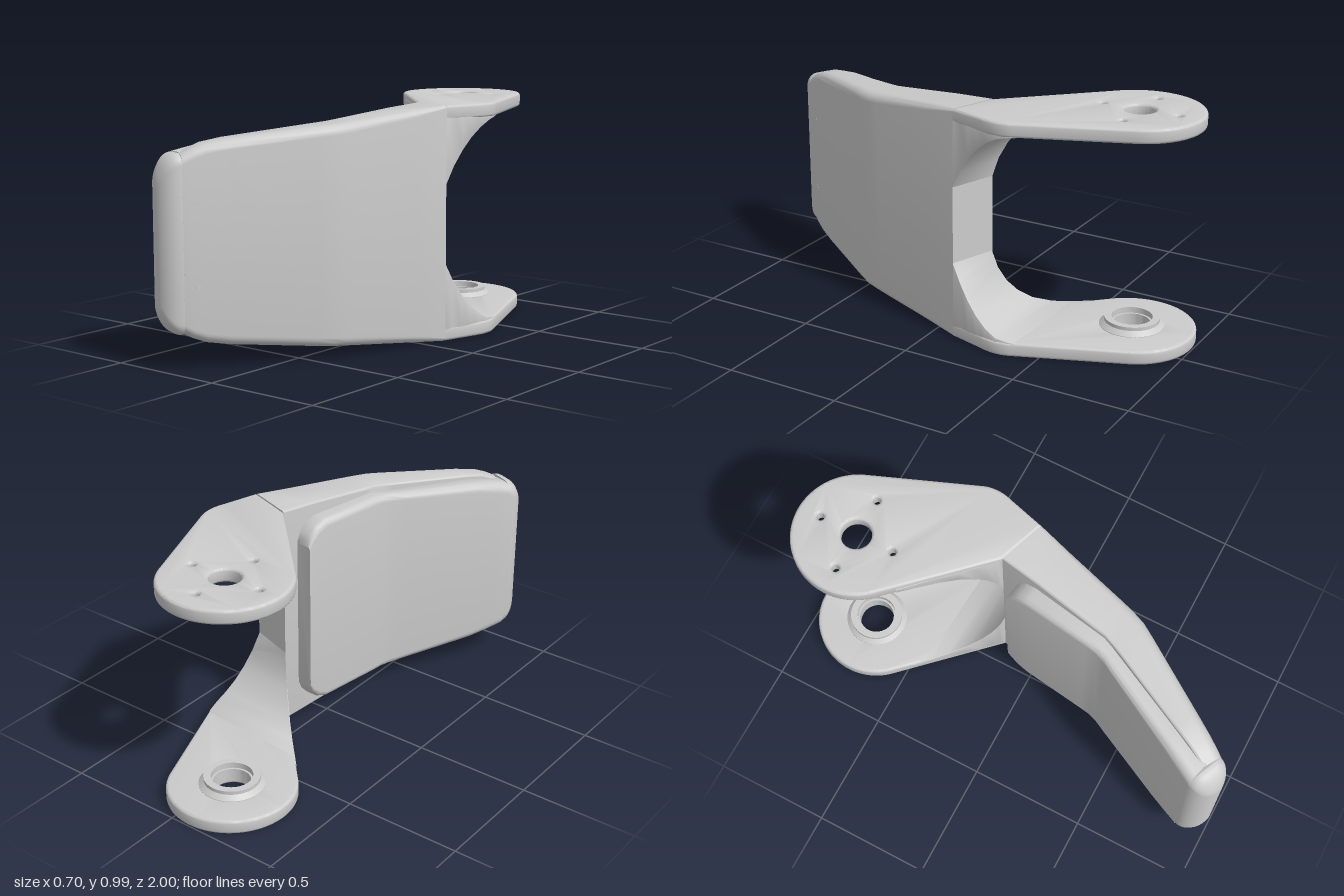
import * as THREE from 'three';
import { toCreasedNormals } from 'three/addons/utils/BufferGeometryUtils.js';

const MID = 0.495, TOP = 0.99, PLATE = 0.06;
const HUB = { x: -0.087, z: -0.735, r: 0.265 };
const grey = new THREE.MeshStandardMaterial({ color: 0xcccccc });

// Rounded section standing between plan points i (inner) and o (outer), [x, z] each
function ring(o, i, yb, yt, rOut, rIn) {
  const w = Math.hypot(o[0] - i[0], o[1] - i[1]);
  const lim = Math.min(w, yt - yb) * 0.49;
  const ro = Math.min(rOut, lim), ri = Math.min(rIn, lim);
  const corners = [
    [w - ro, yt - ro, ro, 0], [ri, yt - ri, ri, 1],
    [ri, yb + ri, ri, 2], [w - ro, yb + ro, ro, 3],
  ];
  const pts = [];
  for (const [u, y, r, q] of corners) {
    for (let k = 0; k <= 6; k++) {
      const a = (q + k / 6) * Math.PI / 2;
      const t = (u + r * Math.cos(a)) / w;
      pts.push([i[0] + (o[0] - i[0]) * t, y + r * Math.sin(a), i[1] + (o[1] - i[1]) * t]);
    }
  }
  return pts;
}

// Skin over rings running from back to front, closed at both ends
function loft(rings) {
  const n = rings[0].length, idx = [];
  for (let k = 0; k < rings.length - 1; k++) {
    for (let j = 0; j < n; j++) {
      const a = k * n + j, b = k * n + (j + 1) % n;
      idx.push(a, b, b + n, a, b + n, a + n);
    }
  }
  const last = (rings.length - 1) * n;
  for (let j = 1; j < n - 1; j++) idx.push(0, j + 1, j, last, last + j, last + j + 1);
  const g = new THREE.BufferGeometry();
  g.setAttribute('position', new THREE.Float32BufferAttribute(rings.flat(2), 3));
  g.setIndex(idx);
  return toCreasedNormals(g, 0.6);
}

// Stations of [outer, inner, half height, outer radius, inner radius], centred in height
const centredLoft = (stations) =>
  loft(stations.map(([o, i, h, ro, ri]) => ring(o, i, MID - h, MID + h, ro, ri)));

// Teardrop plate with round holes given as [x, z, radius]
function plateGeometry(holes) {
  const b = 0.012;
  const s = new THREE.Shape();
  const a0 = 0.367, a1 = Math.PI * 1.25;
  s.absarc(HUB.x, -HUB.z, HUB.r, a0, a1, false);
  s.lineTo(0.09, 0.17);
  s.lineTo(0.29, 0.1);
  s.lineTo(0.332, 0.25);
  s.quadraticCurveTo(0.362, 0.335, 0.332, 0.4);
  s.closePath();
  for (const [x, z, r] of holes) {
    const p = new THREE.Path();
    p.absarc(x, -z, r - b, 0, Math.PI * 2, true);
    s.holes.push(p);
  }
  const g = new THREE.ExtrudeGeometry(s, {
    depth: PLATE - 2 * b, bevelEnabled: true, bevelSize: b, bevelThickness: b,
    bevelOffset: -b, bevelSegments: 3, curveSegments: 40,
  });
  g.rotateX(-Math.PI / 2).translate(0, b, 0);
  return toCreasedNormals(g, 0.6);
}

export function createModel() {
  const model = new THREE.Group();
  const add = (name, geometry) => {
    const m = new THREE.Mesh(geometry, grey);
    m.name = name;
    model.add(m);
    return m;
  };

  // Bent arm wall
  add('armWall', centredLoft([
    [[0.29, -0.1], [0.09, -0.17], 0.495, 0.012, 0.008],
    [[0.25, 0.05], [0.063, 0], 0.483, 0.03, 0.01],
    [[0.172, 0.34], [0.013, 0.28], 0.454, 0.04, 0.01],
    [[0.156, 0.39], [0.004, 0.33], 0.449, 0.04, 0.01],
    [[0.136, 0.44], [-0.012, 0.37], 0.445, 0.04, 0.01],
    [[0.105, 0.49], [-0.035, 0.42], 0.44, 0.04, 0.01],
    [[-0.09, 0.79], [-0.19, 0.74], 0.405, 0.04, 0.01],
    [[-0.14, 0.868], [-0.228, 0.82], 0.39, 0.04, 0.01],
    [[-0.17, 0.915], [-0.25, 0.865], 0.37, 0.04, 0.01],
    [[-0.19, 0.946], [-0.265, 0.9], 0.35, 0.04, 0.01],
  ]));

  // Liner pad on the inner side of the arm
  add('linerPad', centredLoft([
    [[0.085, -0.095], [0.002, -0.11], 0.335, 0.005, 0.02],
    [[0.083, -0.08], [0, -0.09], 0.375, 0.005, 0.03],
    [[0.08, -0.05], [-0.005, -0.055], 0.408, 0.005, 0.03],
    [[0.073, 0], [-0.012, -0.01], 0.425, 0.005, 0.03],
    [[0.025, 0.29], [-0.053, 0.28], 0.425, 0.005, 0.03],
    [[0.015, 0.335], [-0.061, 0.325], 0.422, 0.005, 0.03],
    [[-0.005, 0.375], [-0.078, 0.37], 0.418, 0.005, 0.03],
    [[-0.03, 0.42], [-0.103, 0.415], 0.412, 0.005, 0.03],
    [[-0.18, 0.74], [-0.272, 0.735], 0.385, 0.005, 0.04],
    [[-0.215, 0.82], [-0.315, 0.817], 0.372, 0.005, 0.05],
    [[-0.25, 0.905], [-0.346, 0.878], 0.355, 0.005, 0.06],
  ]));

  // Rounded cap closing the free end
  const tip = [];
  for (let k = 0; k <= 12; k++) {
    const a = k / 12 * 1.5, w = 0.085 * Math.cos(a), d = 0.085 * Math.sin(a);
    const x = -0.268 - 0.4 * d, z = 0.912 + 0.917 * d;
    tip.push([[x + 0.917 * w, z + 0.4 * w], [x - 0.917 * w, z - 0.4 * w],
      0.22 + 0.135 * Math.cos(a), 0.045, 0.06]);
  }
  add('tipCap', centredLoft(tip));

  // Pins on the outer face near the tip
  for (const y of [0.33, 0.66]) {
    const pin = add('pin', new THREE.CylinderGeometry(0.01, 0.01, 0.02, 16));
    pin.position.set(-0.168, y, 0.894);
    pin.quaternion.setFromUnitVectors(
      new THREE.Vector3(0, 1, 0), new THREE.Vector3(0.84, 0, 0.543).normalize());
  }

  // Curved gussets blending the wall into both plates: [outer, inner, underside height]
  const gusset = [
    [[0.29, -0.1], [0.09, -0.17], 0.66],
    [[0.3, -0.14], [0.072, -0.188], 0.735],
    [[0.313, -0.185], [0.045, -0.216], 0.8],
    [[0.325, -0.23], [0.01, -0.251], 0.85],
    [[0.337, -0.28], [-0.035, -0.298], 0.89],
    [[0.344, -0.33], [-0.095, -0.36], 0.916],
    [[0.335, -0.385], [-0.15, -0.416], 0.927],
    [[0.315, -0.43], [-0.215, -0.483], 0.934],
  ].reverse();
  add('upperGusset', loft(gusset.map(([o, i, y]) => ring(o, i, y, 0.965, 0.004, 0.004))));
  add('lowerGusset', loft(gusset.map(([o, i, y]) => ring(o, i, 0.025, TOP - y, 0.004, 0.004))));

  // Upper plate with a centre bore and four bolt holes
  const holes = [[HUB.x, HUB.z, 0.075]];
  for (let k = 0; k < 4; k++) {
    const a = k * Math.PI / 2;
    holes.push([HUB.x + 0.165 * Math.cos(a), HUB.z + 0.165 * Math.sin(a), 0.027]);
  }
  add('upperPlate', plateGeometry(holes)).position.y = TOP - PLATE;

  // Lower plate with a centre bore and a stepped boss
  add('lowerPlate', plateGeometry([[HUB.x, HUB.z, 0.088]]));
  const profile = [[0.076, 0.01], [0.135, 0.05], [0.135, 0.062], [0.115, 0.08], [0.115, 0.095],
    [0.085, 0.095], [0.085, 0.07], [0.076, 0.07], [0.076, 0.01]];
  const boss = add('pivotBoss', toCreasedNormals(new THREE.LatheGeometry(
    profile.map(([r, y]) => new THREE.Vector2(r, y)), 48), 0.5));
  boss.position.set(HUB.x, 0, HUB.z);

  return model;
}
